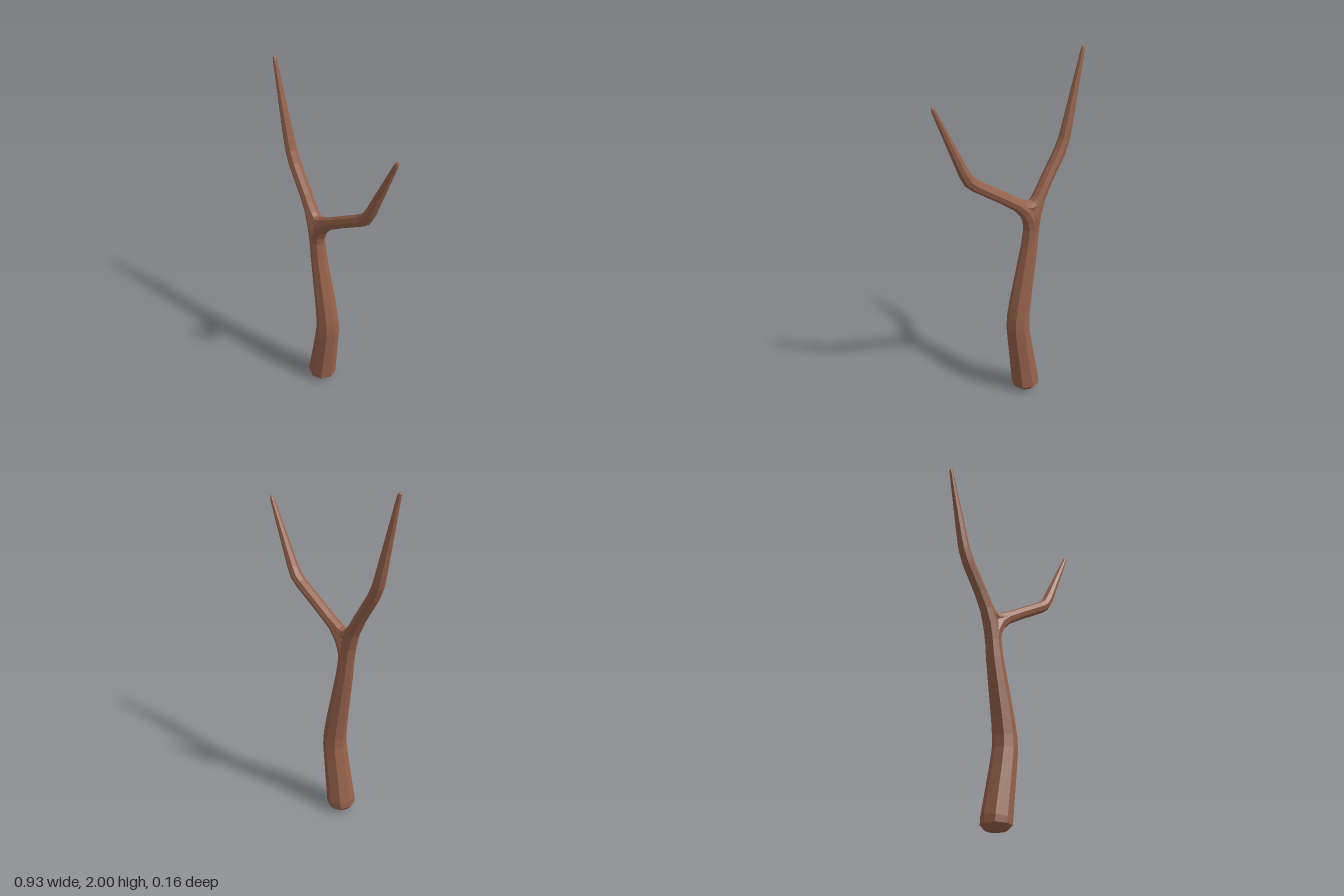
import * as THREE from 'three';

const SIDES = 8;

// Eight-sided limb swept along [x, y, radius] stations in the z = 0 plane
function limb(name, stations, material) {
  const positions = [];
  const index = [];
  stations.forEach(([x, y, r], j) => {
    const p = stations[Math.max(j - 1, 0)];
    const q = stations[Math.min(j + 1, stations.length - 1)];
    const t = new THREE.Vector2(q[0] - p[0], q[1] - p[1]).normalize();
    for (let i = 0; i < SIDES; i++) {
      const a = (i / SIDES) * Math.PI * 2;
      const c = Math.cos(a) * r;
      positions.push(x + t.y * c, y - t.x * c, Math.sin(a) * r);
    }
  });
  for (let j = 0; j < stations.length - 1; j++) {
    for (let i = 0; i < SIDES; i++) {
      const k = (i + 1) % SIDES;
      const a = j * SIDES + i, b = j * SIDES + k;
      const d = a + SIDES, c = b + SIDES;
      if (stations[j][2] > 0) index.push(a, d, b);
      if (stations[j + 1][2] > 0) index.push(b, d, c);
      else if (stations[j][2] > 0) continue;
    }
  }
  const indexed = new THREE.BufferGeometry();
  indexed.setAttribute('position', new THREE.Float32BufferAttribute(positions, 3));
  indexed.setIndex(index);
  const geometry = indexed.toNonIndexed();
  geometry.computeVertexNormals();
  const mesh = new THREE.Mesh(geometry, material);
  mesh.name = name;
  return mesh;
}

export function createModel() {
  const bark = new THREE.MeshStandardMaterial({ color: 0x96624a, flatShading: true });
  bark.name = 'bark brown';

  const group = new THREE.Group();
  group.name = 'forkedBranch';

  // Trunk with bevelled foot, flowing into the tall limb on the right-hand side
  group.add(limb('trunkAndTallLimb', [
    [-0.097, 0, 0], [-0.097, 0.012, 0.056], [-0.098, 0.038, 0.081], [-0.096, 0.07, 0.082],
    [-0.057, 0.33, 0.071], [-0.044, 0.43, 0.068], [-0.046, 0.5, 0.065], [-0.06, 0.6, 0.061],
    [-0.118, 0.92, 0.047], [-0.13, 1.02, 0.044], [-0.145, 1.11, 0.044], [-0.178, 1.2, 0.038],
    [-0.225, 1.29, 0.035], [-0.315, 1.44, 0.034], [-0.345, 1.51, 0.032], [-0.365, 1.59, 0.029],
    [-0.453, 1.975, 0.011], [-0.457, 1.99, 0.009], [-0.459, 2, 0],
  ], bark));

  // Lower limb bending out from the trunk, then up
  group.add(limb('lowLimb', [
    [-0.13, 1.02, 0.042], [-0.122, 1.08, 0.043], [-0.09, 1.142, 0.041], [-0.035, 1.192, 0.035],
    [0.06, 1.252, 0.033], [0.225, 1.352, 0.033], [0.262, 1.382, 0.033], [0.29, 1.428, 0.031],
    [0.447, 1.767, 0.012], [0.453, 1.782, 0.009], [0.457, 1.79, 0],
  ], bark));

  // Rounded saddle that fills the crotch between both limbs
  group.add(limb('crotchSaddle', [
    [-0.215, 1.275, 0.032], [-0.168, 1.198, 0.034], [-0.145, 1.173, 0.034],
    [-0.115, 1.163, 0.035], [-0.08, 1.172, 0.034], [0.03, 1.233, 0.031],
  ], bark));

  return group;
}
